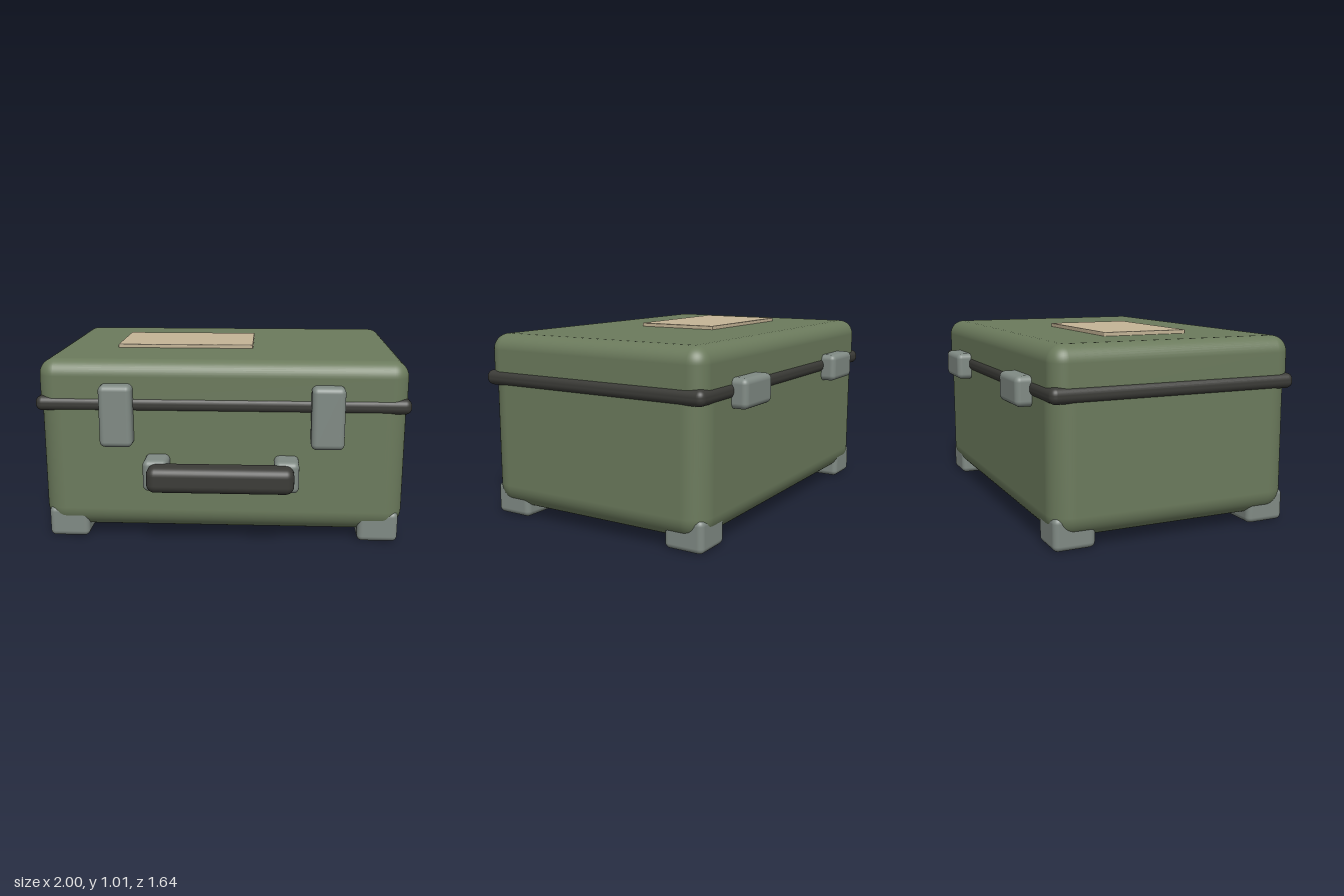
import * as THREE from 'three';
import { RoundedBoxGeometry } from 'three/addons/geometries/RoundedBoxGeometry.js';

const paint = (name, color) => {
  const m = new THREE.MeshStandardMaterial({ color });
  m.name = name;
  return m;
};

export function createModel() {
  const group = new THREE.Group();
  const green = paint('olive green', 0x6b7a5c);
  const grey = paint('metal grey', 0x808a84);
  const dark = paint('dark rubber', 0x3b3b37);
  const tan = paint('tan label', 0xc4b496);

  // Rounded box given by its [min, max] range on each axis
  const block = (name, material, x, y, z, radius, segments = 4) => {
    const geo = new RoundedBoxGeometry(x[1] - x[0], y[1] - y[0], z[1] - z[0], segments, radius);
    geo.translate((x[0] + x[1]) / 2, (y[0] + y[1]) / 2, (z[0] + z[1]) / 2);
    const mesh = new THREE.Mesh(geo, material);
    mesh.name = name;
    group.add(mesh);
    return mesh;
  };

  // Flatten the rounding on one side of the seam so the shell meets it squarely
  const cutAt = (mesh, seam, limit) => {
    const p = mesh.geometry.attributes.position;
    for (let i = 0; i < p.count; i++) p.setY(i, limit(p.getY(i), seam));
  };

  // Shells
  const shellX = [-0.985, 0.985], shellZ = [-0.74, 0.595], seam = 0.76;
  cutAt(block('body', green, shellX, [0.05, seam + 0.12], shellZ, 0.12, 6), seam, Math.min);
  cutAt(block('lid', green, shellX, [seam - 0.085, 0.995], shellZ, 0.085, 6), seam, Math.max);

  // Seal around the seam
  block('seal', dark, [-1, 1], [0.72, 0.8], [-0.752, 0.605], 0.035);

  // Label plate on the lid
  block('label', tan, [-0.62, 0.155], [0.985, 1.015], [-0.315, 0.16], 0.005, 2);

  // Paired fittings, mirrored left and right
  for (const [side, s] of [['left', 1], ['right', -1]]) {
    const span = (a, b) => (s > 0 ? [a, b] : [-b, -a]);
    block(side + 'Latch', grey, span(0.472, 0.648), [0.54, 0.875], [0.53, 0.67], 0.03);
    block(side + 'Hinge', grey, span(0.417, 0.702), [0.67, 0.823], [-0.822, -0.68], 0.03);
    block(side + 'HandleMount', grey, span(0.28, 0.412), [0.32, 0.49], [0.55, 0.735], 0.03);
    block(side + 'FrontFoot', grey, span(0.74, 0.96), [0, 0.17], [0.365, 0.585], 0.03);
    block(side + 'BackFoot', grey, span(0.74, 0.96), [0, 0.17], [-0.73, -0.51], 0.03);
  }

  // Handle grip
  block('handleGrip', dark, [-0.385, 0.385], [0.335, 0.475], [0.68, 0.818], 0.045);

  return group;
}
